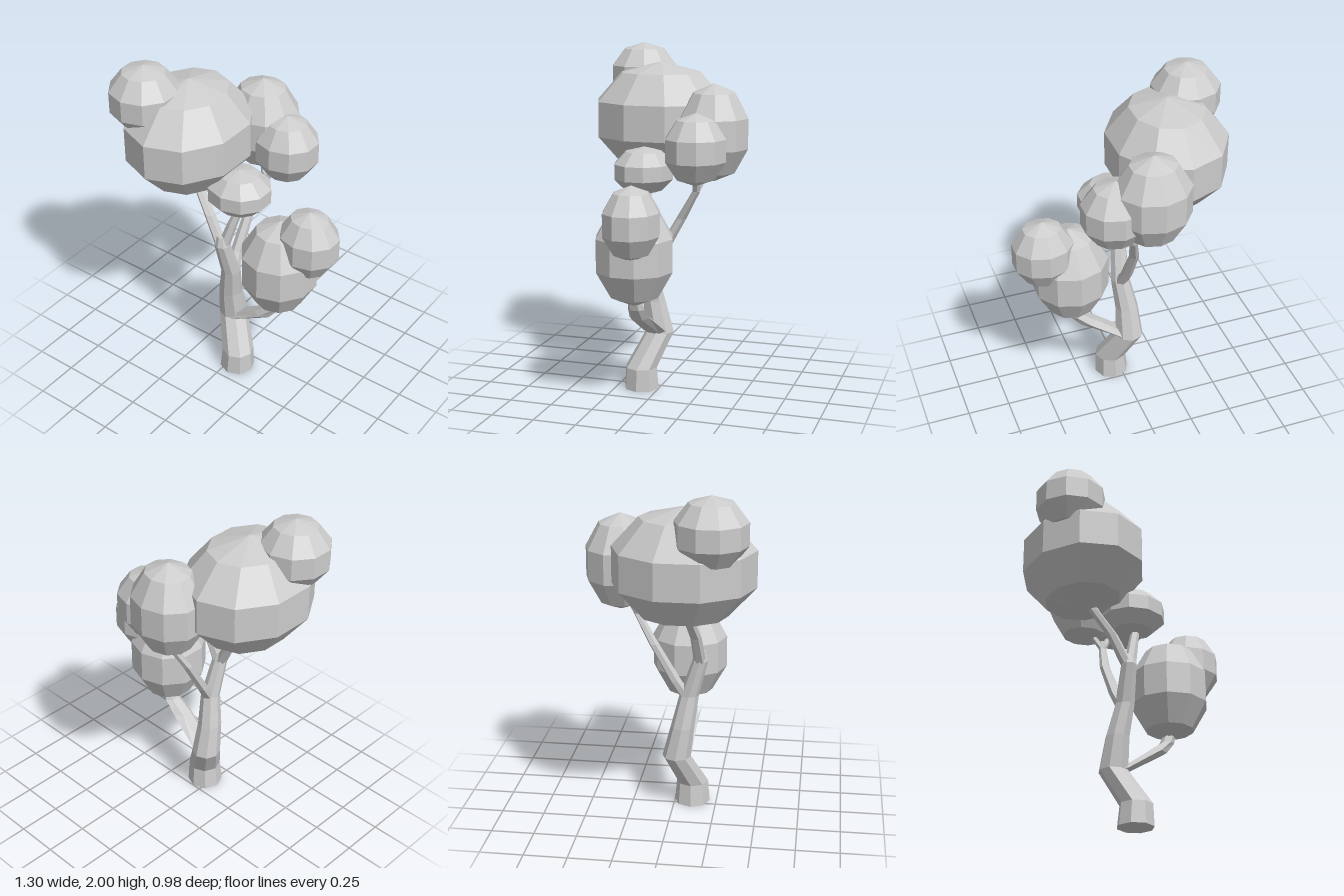
import * as THREE from 'three';

const material = new THREE.MeshStandardMaterial({ color: 0xcccccc, flatShading: true });

// Faceted leaf ball: centre and radii, with a corner facing the front
function leafBall(name, [x, y, z], [rx, ry, rz]) {
  const geometry = new THREE.SphereGeometry(1, 10, 5).rotateY(Math.PI / 2);
  geometry.scale(rx, ry, rz);
  const mesh = new THREE.Mesh(geometry, material);
  mesh.name = name;
  mesh.position.set(x, y, z);
  return mesh;
}

// Limb lofted through level rings [x, y, z, rx, rz], closed at both ends
function limb(name, sides, rings) {
  const positions = [];
  const index = [];
  for (const [x, y, z, rx, rz = rx] of rings) {
    for (let i = 0; i < sides; i++) {
      const a = (i / sides) * Math.PI * 2;
      positions.push(x + rx * Math.sin(a), y, z + rz * Math.cos(a));
    }
  }
  for (let r = 0; r < rings.length - 1; r++) {
    for (let i = 0; i < sides; i++) {
      const a = r * sides + i;
      const b = r * sides + ((i + 1) % sides);
      index.push(a, b, b + sides, a, b + sides, a + sides);
    }
  }
  const top = (rings.length - 1) * sides;
  for (let i = 1; i < sides - 1; i++) {
    index.push(0, i + 1, i, top, top + i, top + i + 1);
  }
  const indexed = new THREE.BufferGeometry();
  indexed.setAttribute('position', new THREE.Float32BufferAttribute(positions, 3));
  indexed.setIndex(index);
  const geometry = indexed.toNonIndexed();
  geometry.computeVertexNormals();
  const mesh = new THREE.Mesh(geometry, material);
  mesh.name = name;
  return mesh;
}

export function createModel() {
  const tree = new THREE.Group();
  tree.name = 'tree';

  // Crooked trunk
  tree.add(limb('trunk', 8, [
    [0.05, 0, 0.105, 0.105],
    [0.055, 0.13, 0.105, 0.095],
    [-0.04, 0.33, 0.02, 0.085],
    [-0.035, 0.52, 0.055, 0.07],
    [-0.007, 0.71, 0.09, 0.057],
    [-0.018, 0.93, 0.155, 0.046],
    [-0.02, 0.99, 0.155, 0.03],
  ]));

  // Branches
  tree.add(limb('lowBranch', 6, [
    [0.005, 0.335, 0.035, 0.04, 0.07],
    [0.215, 0.475, 0.06, 0.06, 0.062],
    [0.29, 0.545, 0.055, 0.04, 0.05],
    [0.33, 0.65, 0.055, 0.03],
  ]));
  tree.add(limb('crownBranch', 6, [
    [-0.025, 0.92, 0.155, 0.036],
    [-0.12, 1.1, 0.14, 0.033],
    [-0.22, 1.24, 0.11, 0.03],
    [-0.27, 1.4, 0.1, 0.02],
  ]));
  tree.add(limb('middleBranch', 6, [
    [-0.01, 0.93, 0.15, 0.036],
    [0.03, 1.08, 0.12, 0.03],
    [0.06, 1.18, 0.095, 0.025],
    [0.06, 1.28, 0.09, 0.02],
  ]));
  tree.add(limb('backBranch', 6, [
    [-0.007, 0.7, 0.075, 0.042],
    [-0.02, 0.8, 0.01, 0.036],
    [-0.02, 1.02, -0.115, 0.03],
    [0.02, 1.19, -0.215, 0.023],
    [0.02, 1.24, -0.22, 0.02],
  ]));
  for (const [name, x, z] of [['backTwigRight', -0.05, -0.28], ['backTwigLeft', 0.1, -0.24]]) {
    tree.add(limb(name, 6, [[0.02, 1.19, -0.215, 0.022], [x, 1.34, z, 0.018]]));
  }

  // Leaf balls
  tree.add(leafBall('crownLeaves', [-0.285, 1.565, 0.09], [0.36, 0.335, 0.42]));
  tree.add(leafBall('topLeaves', [-0.46, 1.8, 0.255], [0.21, 0.2, 0.21]));
  tree.add(leafBall('backLeaves', [-0.06, 1.52, -0.295], [0.229, 0.28, 0.21]));
  tree.add(leafBall('backSideLeaves', [0.14, 1.447, -0.245], [0.2, 0.205, 0.184]));
  tree.add(leafBall('middleLeaves', [0.052, 1.302, 0.087], [0.2, 0.138, 0.182]));
  tree.add(leafBall('lowLeaves', [0.313, 0.875, 0.057], [0.235, 0.305, 0.235]));
  tree.add(leafBall('sideLeaves', [0.48, 1.08, 0.018], [0.188, 0.21, 0.167]));

  return tree;
}
